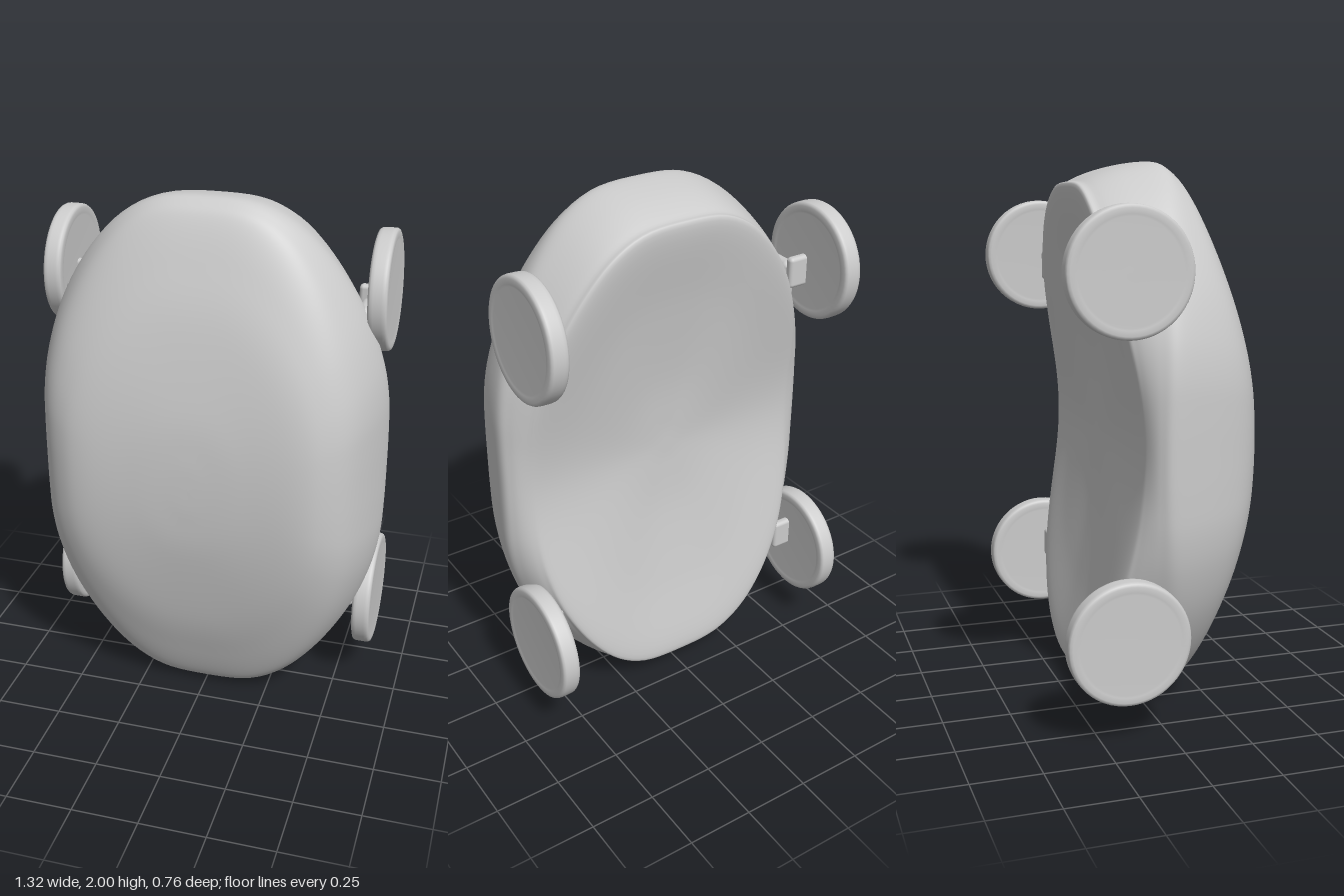
import * as THREE from 'three';
import { mergeVertices } from 'three/addons/utils/BufferGeometryUtils.js';
import { RoundedBoxGeometry } from 'three/addons/geometries/RoundedBoxGeometry.js';

const material = new THREE.MeshStandardMaterial({ color: 0xcccccc });
const v2 = ([x, y]) => new THREE.Vector2(x, y);

// Quarter of the body's oval outline, from the side to the end
const QUARTER = [[.66, 0], [.659, .15], [.653, .28], [.627, .42], [.56, .6], [.44, .79], [.31, .92], [.18, .985], [0, 1]];
// Front-to-back sections as [outline scale, z]: across the middle, and along the length
const ACROSS = [[0, .38], [.12, .38], [.32, .38], [.6, .376], [.75, .345], [.865, .275], [.95, .15],
  [1, 0], [.965, -.055], [.89, -.083], [.8, -.09], [.55, -.09], [.27, -.09], [.1, -.09], [0, -.09]];
const ALONG = [[0, .38], [.12, .377], [.3, .359], [.6, .297], [.8, .23], [.93, .175], [.98, .135],
  [1, .08], [.975, -.06], [.932, -.17], [.89, -.206], [.6, -.152], [.3, -.107], [.1, -.092], [0, -.09]];

// Full outline, mirrored from the quarter, counter-clockwise
function outlinePoints(count) {
  const mirrored = QUARTER.slice(0, -1).reverse().map(([x, y]) => [-x, y]);
  const upper = [...QUARTER, ...mirrored];
  const lower = upper.slice(1, -1).map(([x, y]) => [-x, -y]);
  const pts = [...upper, ...lower].map(([x, y]) => new THREE.Vector3(x, y, 0));
  return new THREE.CatmullRomCurve3(pts, true).getSpacedPoints(count).slice(0, count);
}

// Curved body: rings of the outline, blending the two sections towards the ends
function bodyGeometry() {
  const around = 144, rings = 98;
  const outline = outlinePoints(around);
  const across = new THREE.SplineCurve(ACROSS.map(v2));
  const along = new THREE.SplineCurve(ALONG.map(v2));
  const pos = [], index = [];
  for (let i = 0; i <= rings; i++) {
    const t = i / rings;
    const a = across.getPoint(t), b = along.getPoint(t);
    // The back reaches its end section sooner than the front does
    const back = THREE.MathUtils.smoothstep(t, .48, .64);
    for (let j = 0; j < around; j++) {
      const o = outline[j], y = Math.min(1, Math.abs(o.y));
      const w = THREE.MathUtils.lerp(y * y, y * y * (3 - 2 * y), back);
      const p = a.clone().lerp(b, w);
      pos.push(o.x * p.x, 1 + o.y * p.x, p.y);
      if (i === rings) continue;
      const k = (j + 1) % around, r = i * around, s = r + around;
      if (i > 0) index.push(r + j, s + k, r + k);
      if (i < rings - 1) index.push(r + j, s + j, s + k);
      else index.push(r + j, s + j, r + k);
    }
  }
  const g = new THREE.BufferGeometry();
  g.setAttribute('position', new THREE.Float32BufferAttribute(pos, 3));
  g.setIndex(index);
  const merged = mergeVertices(g, 1e-5);
  merged.computeVertexNormals();
  return merged;
}

// Disc wheel with a rounded tread and a slightly recessed face on each side
function wheelGeometry() {
  const half = [[0, .032], [.18, .032], [.188, .035], [.208, .035], [.217, .032], [.221, .025], [.222, .015]];
  const lower = half.map(([r, h]) => [r, -h]);
  const g = new THREE.LatheGeometry([...lower, ...half.reverse()].map(v2), 56);
  return g.rotateZ(-Math.PI / 2);
}

export function createModel() {
  const model = new THREE.Group();
  const add = (parent, name, geometry, x = 0, y = 0, z = 0) => {
    const m = new THREE.Mesh(geometry, material);
    m.name = name;
    m.position.set(x, y, z);
    parent.add(m);
    return m;
  };

  add(model, 'body', bodyGeometry());

  // Four wheels, each with a flat axle lug and a mounting boss on the body
  const wheel = wheelGeometry();
  const lug = new RoundedBoxGeometry(.09, .12, .036, 4, .015);
  const boss = new RoundedBoxGeometry(.05, .18, .14, 4, .024);
  for (const side of [-1, 1]) {
    for (const end of [-1, 1]) {
      const g = new THREE.Group();
      g.name = (end > 0 ? 'upper' : 'lower') + (side > 0 ? 'Left' : 'Right') + 'Wheel';
      model.add(g);
      const x = side < 0 ? -.61 : (end > 0 ? .597 : .604);
      const w = add(g, 'wheel', wheel, x, 1 + end * .633, -.16);
      if (side > 0 && end > 0) w.rotation.z = .03;
      add(g, 'axleLug', lug, side * .55, 1 + end * .595, -.138);
      add(g, 'boss', boss, side * .545, 1 + end * .53, -.035);
    }
  }
  return model;
}
